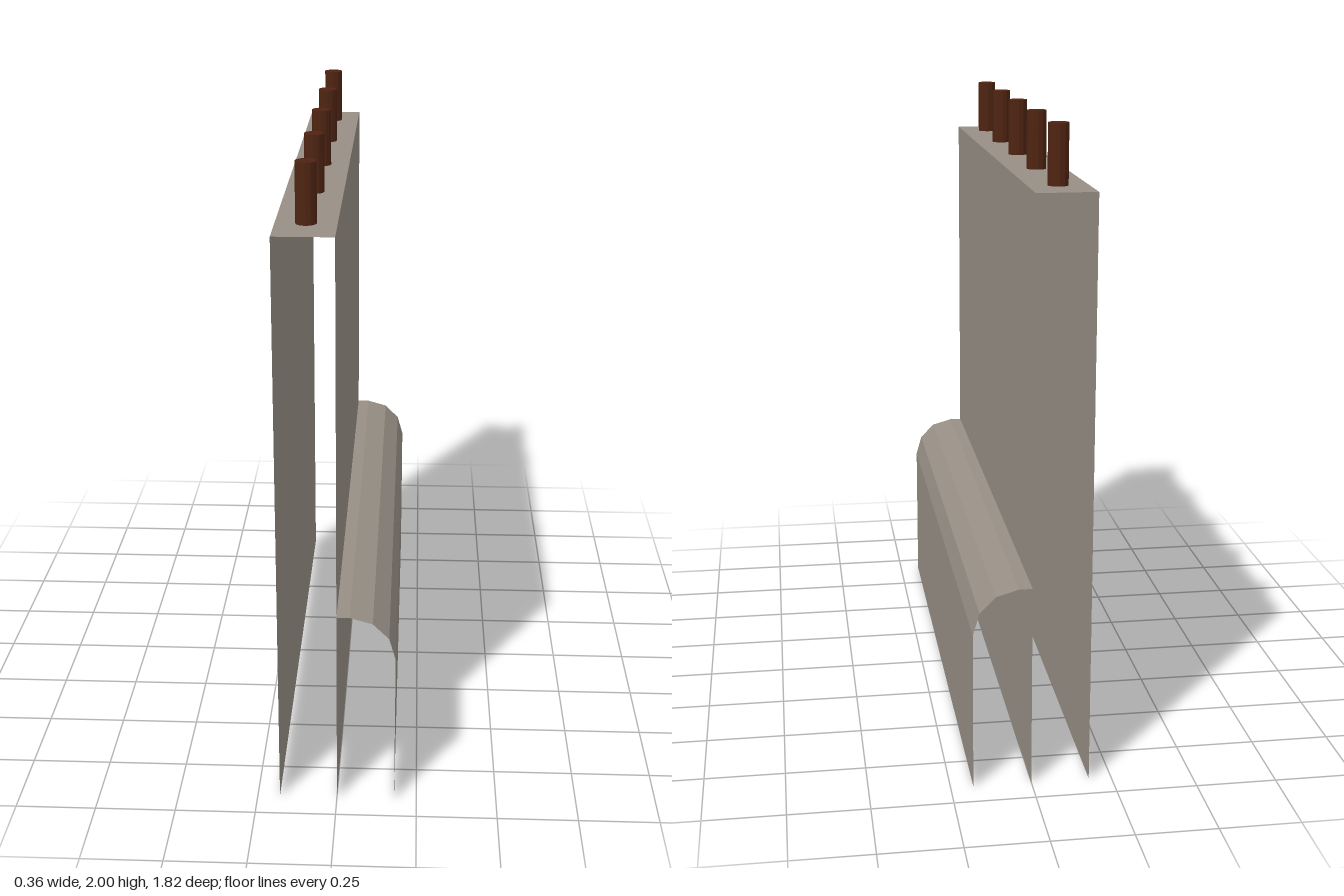
import * as THREE from 'three';

const HALF = 0.91; // half length along z

// Thin folded sheet: an open x,y profile swept along z, flat-faceted
function sheet(profile) {
  const pos = [];
  for (let i = 0; i < profile.length - 1; i++) {
    const [x0, y0] = profile[i], [x1, y1] = profile[i + 1];
    pos.push(x0, y0, -HALF, x0, y0, HALF, x1, y1, HALF);
    pos.push(x0, y0, -HALF, x1, y1, HALF, x1, y1, -HALF);
  }
  const g = new THREE.BufferGeometry();
  g.setAttribute('position', new THREE.Float32BufferAttribute(pos, 3));
  g.computeVertexNormals();
  return g;
}

export function createModel() {
  const model = new THREE.Group();
  model.name = 'pinnedWall';

  const stone = new THREE.MeshStandardMaterial({ color: 0x978f85, side: THREE.DoubleSide, flatShading: true });
  stone.name = 'warm grey';
  const rust = new THREE.MeshStandardMaterial({ color: 0x4f2412, flatShading: true });
  rust.name = 'dark brown';

  const add = (name, geometry, material) => {
    const mesh = new THREE.Mesh(geometry, material);
    mesh.name = name;
    model.add(mesh);
    return mesh;
  };

  // Tall wall: back face, top and front face, open at the ends and below
  add('wall', sheet([[-0.18, 0], [-0.18, 1.82], [0, 1.82], [0, 0]]), stone);

  // Low ledge with a rounded shoulder
  add('ledge', sheet([[0, 0.64], [0.04, 0.64], [0.11, 0.62], [0.16, 0.57], [0.18, 0.5], [0.18, 0]]), stone);

  // Row of upright rods along the top
  const rod = new THREE.CylinderGeometry(0.031, 0.031, 0.18, 12);
  for (let i = -2; i <= 2; i++) {
    add('rod' + (i + 3), rod, rust).position.set(-0.09, 1.91, i * 0.38);
  }

  return model;
}
